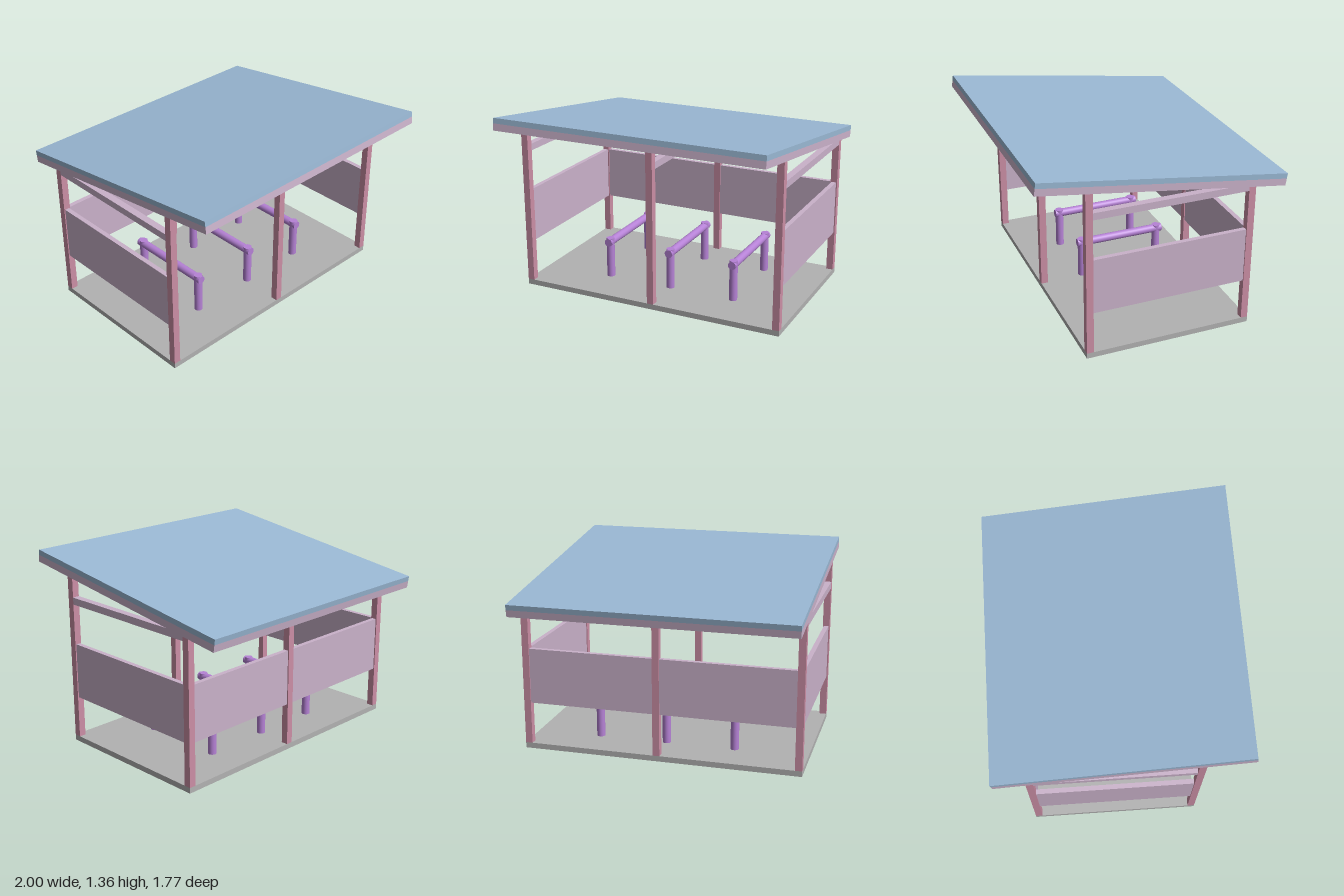
import * as THREE from 'three';

const mat = (name, color, opts = {}) => {
  const m = new THREE.MeshStandardMaterial({ color, ...opts });
  m.name = name;
  return m;
};

export function createModel() {
  const model = new THREE.Group();
  model.name = 'rackShelter';
  const concrete = mat('concrete grey', 0xb2b2b2);
  const rose = mat('rose posts', 0xcc8fa6);
  const lilac = mat('lilac timber', 0xcab2ca);
  const blue = mat('blue roof', 0x9ab8d4);
  const purple = mat('purple tube', 0xb682d6);

  // box given by its min and max on each axis
  const box = (name, m, [x0, x1], [y0, y1], [z0, z1], parent = model) => {
    const mesh = new THREE.Mesh(new THREE.BoxGeometry(x1 - x0, y1 - y0, z1 - z0), m);
    mesh.position.set((x0 + x1) / 2, (y0 + y1) / 2, (z0 + z1) / 2);
    mesh.name = name;
    parent.add(mesh);
    return mesh;
  };

  const W = 0.05;                       // timber width
  const lanes = [-1, 0, 0.95];          // left edge of each post line
  const bays = [[-0.95, 0], [0.05, 0.95]];
  const zFront = 0.505, zBack = -0.65, zIn = [-0.6, 0.505];
  const pitch = THREE.MathUtils.degToRad(8);
  const rafterBottom = z => 1.1515 + (z - 0.006) * Math.tan(pitch);

  box('floorSlab', concrete, [-1, 1], [0, 0.04], [-0.65, 0.555]);

  // posts, cut at the roof slope
  const post = (name, x, z) => {
    const s = new THREE.Shape();
    s.moveTo(-z, 0.04);
    s.lineTo(-z, rafterBottom(z));
    s.lineTo(-z - W, rafterBottom(z + W));
    s.lineTo(-z - W, 0.04);
    const g = new THREE.ExtrudeGeometry(s, { depth: W, bevelEnabled: false });
    g.rotateY(Math.PI / 2);
    const mesh = new THREE.Mesh(g, rose);
    mesh.position.x = x;
    mesh.name = name;
    model.add(mesh);
  };
  for (const x of lanes) {
    post('frontPost', x, zFront);
    post('backPost', x, zBack);
    box('tieBeam', lilac, [x, x + W], [1.037, 1.087], zIn);
  }

  // wall panels and back beams
  const wallY = [0.343, 0.743];
  for (const bay of bays) {
    box('backPanel', lilac, bay, wallY, [-0.642, -0.608]);
    box('backBeam', lilac, bay, [1.037, 1.087], [-0.65, -0.6]);
  }
  box('rightPanel', lilac, [-0.992, -0.958], wallY, zIn);
  box('leftPanel', lilac, [0.958, 0.992], wallY, zIn);

  // sloping roof with rafters and cross purlins
  const roof = new THREE.Group();
  roof.name = 'roof';
  roof.position.set(0, 1.1515, 0.006);
  roof.rotation.x = -pitch;
  model.add(roof);
  const half = 0.8875;
  box('roofSheet', blue, [-1, 1], [0.05, 0.088], [-half, half], roof);
  for (const x of lanes) box('rafter', lilac, [x, x + W], [0, 0.05], [-half, half], roof);
  for (const z of [-half, -0.09, half - W])
    for (const bay of bays) box('purlin', lilac, bay, [0, 0.05], [z, z + W], roof);

  // tubular racks
  const r = 0.03;
  for (const x of [-0.475, 0.025, 0.525]) {
    const rack = new THREE.Group();
    rack.name = 'rack';
    rack.position.x = x;
    model.add(rack);
    for (const z of [0.225, -0.375]) {
      const leg = new THREE.Mesh(new THREE.CylinderGeometry(r, r, 0.303, 24), purple);
      leg.position.set(0, 0.04 + 0.1515, z);
      leg.name = 'rackLeg';
      rack.add(leg);
    }
    const rail = new THREE.Mesh(new THREE.CylinderGeometry(r, r, 0.675, 24), purple);
    rail.rotation.x = Math.PI / 2;
    rail.position.set(0, 0.313, -0.0775);
    rail.name = 'rackRail';
    rack.add(rail);
  }
  return model;
}
